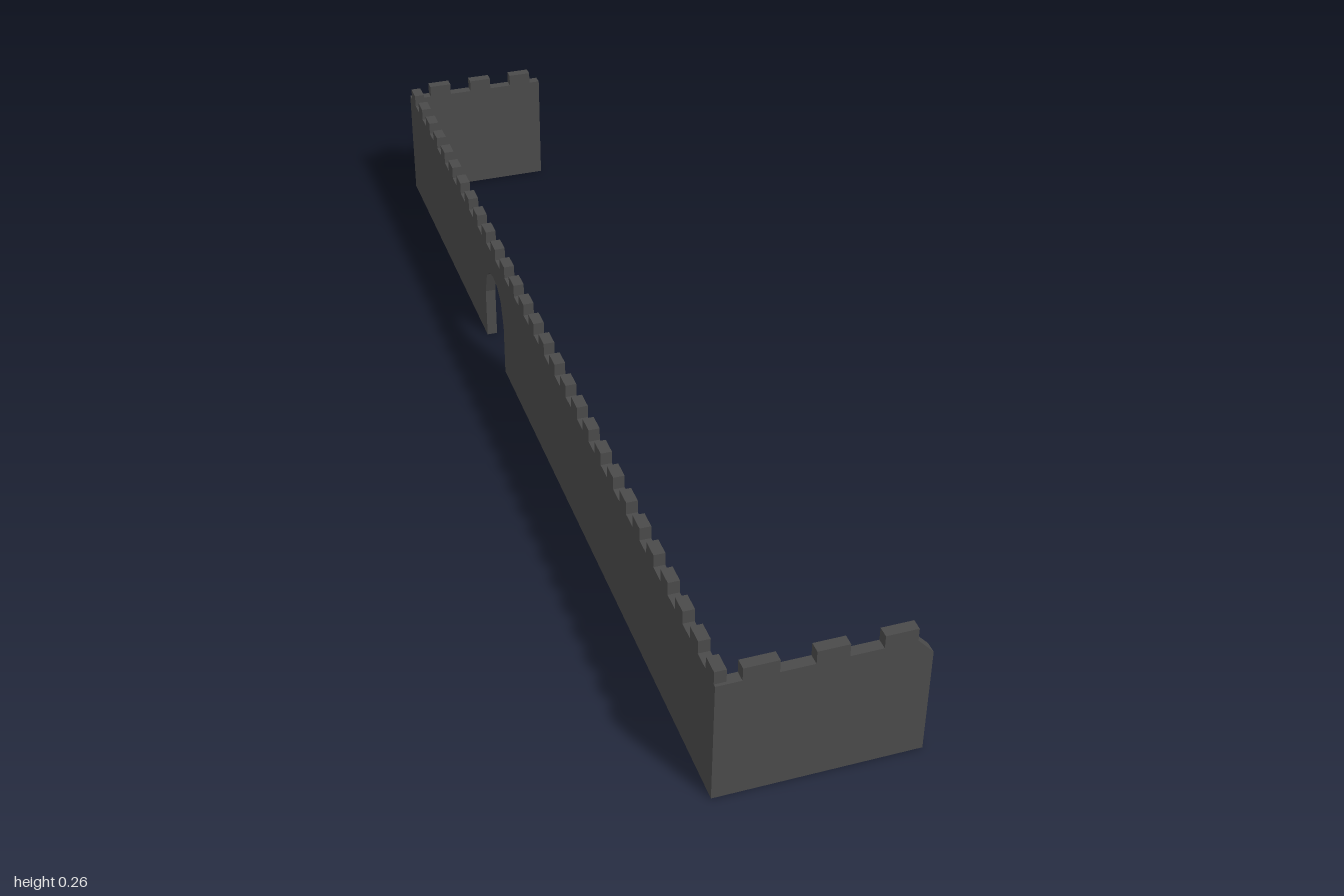
import * as THREE from 'three';

const THICK = 0.02, WALK = 0.232, TOP = 0.256, OUTER = -0.177;

// Wall outline: bottom edge points, then the far end, then battlements back to the start
function wallGeometry(u0, u1, bottom, endPoints, merlons) {
  const pts = [[u0, 0], ...bottom, [u1, 0], ...endPoints];
  for (const [a, b] of [...merlons].reverse()) {
    pts.push([b, WALK], [b, TOP], [a, TOP], [a, WALK]);
  }
  pts.push([u0, WALK]);
  const shape = new THREE.Shape(pts.map(([x, y]) => new THREE.Vector2(x, y)));
  return new THREE.ExtrudeGeometry(shape, { depth: THICK, bevelEnabled: false });
}

export function createModel() {
  const group = new THREE.Group();
  const stone = new THREE.MeshStandardMaterial({ color: 0x4a4a4a });
  stone.name = 'darkStone';

  const add = (name, geometry, x, z) => {
    const mesh = new THREE.Mesh(geometry, stone);
    mesh.name = name;
    mesh.position.set(x, 0, z);
    group.add(mesh);
  };

  // Long wall with an arched gateway; u runs toward the back
  const arch = [
    [0.205, 0], [0.205, 0.105], [0.222, 0.155], [0.247, 0.174], [0.275, 0.18],
    [0.303, 0.174], [0.328, 0.155], [0.345, 0.105], [0.345, 0],
  ];
  const longMerlons = [];
  for (let i = 0; i < 29; i++) {
    const c = -0.977 + i * 0.0693;
    longMerlons.push([c - 0.0175, c + 0.0175]);
  }
  const longWall = wallGeometry(-1, 1, arch, [[1, WALK]], longMerlons);
  longWall.rotateY(Math.PI / 2);
  add('longWall', longWall, OUTER, 0);

  // Front return wall with a chamfered free end
  const inner = OUTER + THICK;
  add('frontWall', wallGeometry(inner, 0.176, [], [[0.176, 0.202], [0.148, WALK]],
    [[-0.134, -0.075], [-0.017, 0.037], [0.093, 0.148]]), 0, 1 - THICK);

  // Shorter back return wall
  add('backWall', wallGeometry(inner, 0.118, [], [[0.118, WALK]],
    [[-0.134, -0.088], [-0.042, 0.004], [0.05, 0.096]]), 0, -1);

  return group;
}
